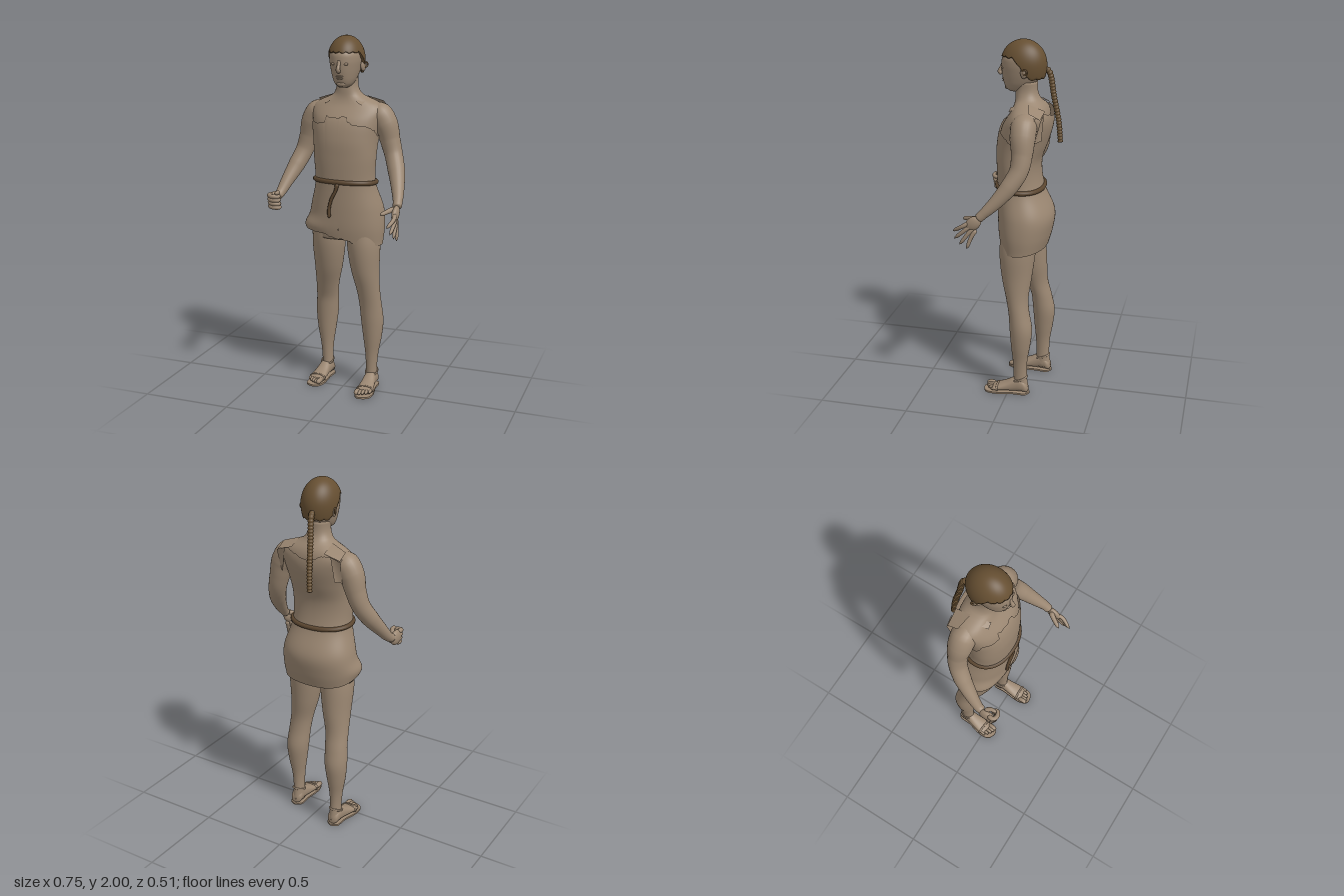
import * as THREE from 'three';
import { mergeVertices } from 'three/addons/utils/BufferGeometryUtils.js';

const mat = (name, color, side = THREE.FrontSide) => {
  const m = new THREE.MeshStandardMaterial({ color, side });
  m.name = name;
  return m;
};

// Weld the seams so shading is smooth all round
function weld(geo) {
  geo.deleteAttribute('uv');
  geo.deleteAttribute('normal');
  const g = mergeVertices(geo, 1e-5);
  g.computeVertexNormals();
  return g;
}

// Surface from fn(u, v) -> [x, y, z], u around and v along
function grid(nu, nv, fn) {
  const pos = [], idx = [];
  for (let j = 0; j <= nv; j++)
    for (let i = 0; i <= nu; i++) pos.push(...fn(i / nu, j / nv));
  for (let j = 0; j < nv; j++)
    for (let i = 0; i < nu; i++) {
      const a = j * (nu + 1) + i, d = a + nu + 1;
      idx.push(a, a + 1, d + 1, a, d + 1, d);
    }
  const g = new THREE.BufferGeometry();
  g.setAttribute('position', new THREE.Float32BufferAttribute(pos, 3));
  g.setIndex(idx);
  return weld(g);
}

// Smooth lookup in rows of [key, ...values]
function table(rows) {
  const n = rows[0].length - 1;
  const it = new THREE.CubicInterpolant(
    new Float32Array(rows.map(r => r[0])), new Float32Array(rows.flatMap(r => r.slice(1))), n);
  return k => Array.from(it.evaluate(k));
}

const power = (c, e) => Math.sign(c) * Math.abs(c) ** e;

// Closed upright loft; prof(y) -> [cx, cz, rx, rz]
function loft(prof, y0, y1, nv = 40, e = 1) {
  return grid(40, nv + 2, (u, v) => {
    const j = Math.round(v * (nv + 2)), a = u * Math.PI * 2;
    const t = Math.min(Math.max((j - 1) / nv, 0), 1), y = y0 + (y1 - y0) * t;
    const [cx, cz, rx, rz] = prof(y), k = j === 0 || j === nv + 2 ? 0 : 1;
    return [cx + k * rx * power(Math.sin(a), e), y, cz + k * rz * power(Math.cos(a), e)];
  });
}

// Tapered tube through points [x, y, z, radius], with rounded ends
function limb(pts, sides = 16, per = 8, closed = false) {
  const curve = new THREE.CatmullRomCurve3(pts.map(p => new THREE.Vector3(p[0], p[1], p[2])), closed);
  curve.getUtoTmapping = u => u;
  const n = (pts.length - (closed ? 0 : 1)) * per;
  const g = new THREE.TubeGeometry(curve, n, 1, sides, closed);
  const p = g.attributes.position, v = new THREE.Vector3();
  for (let i = 0; i <= n; i++) {
    const f = i / per, k = Math.floor(f), a = pts[k % pts.length], b = pts[(k + 1) % pts.length] ?? a;
    let r = THREE.MathUtils.lerp(a[3], b[3], f - k);
    if (!closed) r *= [0, 0.75][Math.min(i, n - i)] ?? 1;
    const c = curve.getPoint(i / n);
    for (let s = 0; s <= sides; s++) {
      const q = i * (sides + 1) + s;
      v.fromBufferAttribute(p, q).sub(c).multiplyScalar(r).add(c);
      p.setXYZ(q, v.x, v.y, v.z);
    }
  }
  return weld(g);
}

export function createModel() {
  const model = new THREE.Group();
  model.name = 'figure';
  const skin = mat('skin', 0x9b8772);
  const cloth = mat('cloth', 0x9a8671, THREE.DoubleSide);
  const hair = mat('hair', 0x664f32, THREE.DoubleSide);
  const rope = mat('rope', 0x5b4630);
  const add = (name, geo, m, parent = model) => {
    const mesh = new THREE.Mesh(geo, m);
    mesh.name = name;
    parent.add(mesh);
    return mesh;
  };
  const ball = (name, m, x, y, z, sx, sy, sz) => {
    const b = add(name, new THREE.SphereGeometry(1, 20, 14), m);
    b.position.set(x, y, z);
    b.scale.set(sx, sy, sz);
    return b;
  };

  // Torso and neck: [height, half width, front z, back z]
  const bodyRow = table([
    [0.86, 0.2, 0.055, -0.178], [0.95, 0.207, 0.068, -0.203], [1.05, 0.2, 0.073, -0.214],
    [1.2, 0.163, 0.075, -0.155], [1.35, 0.168, 0.08, -0.14], [1.45, 0.176, 0.078, -0.168],
    [1.55, 0.196, 0.055, -0.19], [1.6, 0.205, 0.025, -0.19], [1.63, 0.19, 0.006, -0.183],
    [1.655, 0.14, -0.004, -0.17], [1.675, 0.092, -0.008, -0.153], [1.71, 0.064, -0.009, -0.132], [1.8, 0.058, -0.01, -0.125]]);
  const body = y => {
    const [rx, f, b] = bodyRow(y);
    return [0, (f + b) / 2, rx, (f - b) / 2];
  };
  add('torso', loft(body, 0.89, 1.78, 70, 0.92), skin);

  // Head: [height, half width, front z, back z]
  const headRow = table([
    [1.725, 0.025, 0.025, -0.05], [1.737, 0.042, 0.04, -0.07], [1.76, 0.057, 0.052, -0.1],
    [1.79, 0.068, 0.06, -0.13], [1.83, 0.078, 0.066, -0.15], [1.87, 0.084, 0.067, -0.15],
    [1.91, 0.082, 0.06, -0.15], [1.94, 0.065, 0.03, -0.13], [1.96, 0.04, -0.01, -0.09]]);
  add('head', loft(y => {
    const [rx, f, b] = headRow(y);
    return [0, (f + b) / 2, rx, (f - b) / 2];
  }, 1.725, 1.96, 30, 0.95), skin);
  add('nose', limb([[0, 1.875, 0.058, 0.009], [0, 1.847, 0.07, 0.009], [0, 1.823, 0.079, 0.012], [0, 1.812, 0.066, 0.011]]), skin);
  ball('upperLip', skin, 0, 1.788, 0.057, 0.021, 0.005, 0.009);
  ball('lowerLip', skin, 0, 1.777, 0.054, 0.018, 0.006, 0.009);
  ball('chin', skin, 0, 1.747, 0.036, 0.026, 0.016, 0.015);
  for (const s of [1, -1]) {
    ball('eye', skin, s * 0.034, 1.853, 0.054, 0.014, 0.007, 0.009);
    const ear = ball('ear', skin, s * 0.089, 1.838, -0.07, 0.011, 0.03, 0.02);
    ear.rotation.y = -s * 0.4;
    const loop = add('sideLock', new THREE.TorusGeometry(0.013, 0.005, 8, 18), hair);
    loop.position.set(s * 0.1, 1.843, -0.078);
    loop.rotation.y = s * 1.1;
  }

  // Cropped hair cap with a scalloped fringe, lower at the nape
  add('hairCap', grid(96, 26, (u, v) => {
    const th = u * Math.PI * 2, a = Math.abs(u > 0.5 ? th - Math.PI * 2 : th);
    const low = 1.917 - 0.112 * THREE.MathUtils.smoothstep(a, 1.15, 2.1) - 0.008 * Math.abs(Math.sin(th * 8));
    const w = Math.max(0, (v * 26 - 1) / 25);
    const y = low + (2 - low) * Math.sin(w * Math.PI / 2);
    const h = (y - 1.87) / 0.13;
    const s = (h > 0 ? Math.sqrt(Math.max(0, 1 - h * h)) : 1 - 0.3 * h * h) * (v === 0 ? 0.85 : 1);
    return [0.1 * s * Math.sin(th), y, -0.051 + 0.124 * s * Math.cos(th)];
  }), hair);

  // Long braid with a bumpy profile
  const path = new THREE.CatmullRomCurve3([[-0.015, 1.85, -0.155], [-0.022, 1.83, -0.183],
    [-0.032, 1.7, -0.208], [-0.042, 1.56, -0.234], [-0.048, 1.44, -0.244]].map(p => new THREE.Vector3(...p)));
  const braid = [];
  for (let i = 0; i <= 50; i++) {
    const p = path.getPointAt(i / 50);
    braid.push([p.x, p.y, p.z, (i % 2 ? 0.0175 : 0.0135) - i * 0.00004]);
  }
  add('braid', limb(braid, 14, 3), hair);

  // Tunic shell with a ragged hem, a bunched fold at the right hip and a stepped neckline
  const tear = th => 0.006 * Math.sign(Math.sin(th * 11)) + 0.004 * Math.sin(th * 29);
  add('tunic', grid(120, 50, (u, v) => {
    const th = u * Math.PI * 2, sn = Math.sin(th), c = Math.cos(th);
    const hem = 0.868 + (0.5 + 0.5 * c) * (0.03 - 0.055 * sn) + 0.5 * tear(th) * Math.max(c, 0);
    const front = sn < -0.4 ? 1.535 : sn < 0.2 ? 1.57 : 1.55 - 0.04 * sn;
    const back = 1.632 - 0.03 * Math.exp(-((sn / 0.3) ** 2));
    const edge = THREE.MathUtils.lerp(1.47, c > 0 ? front : back, THREE.MathUtils.smoothstep(Math.abs(c), 0.1, 0.6));
    const top = edge + tear(th) * (c > 0 ? 0.5 : 0.3);
    const y = hem + (top - hem) * v, [, cz, rx, rz] = body(y);
    const gape = c < 0 ? -c * 0.012 * THREE.MathUtils.smoothstep(y, 1.3, 1.6) : 0;
    const fold = 0.028 * Math.exp(-(((th - 5.15) / 0.6) ** 2) - ((y - 0.955) / 0.045) ** 2);
    return [(rx + 0.008 + fold) * power(sn, 0.92), y, cz + (rz + 0.009 + gape + fold) * power(c, 0.92)];
  }), cloth);

  // Torn scraps of cloth left on the shoulders
  const scrap = (...p) => {
    const g = new THREE.BufferGeometry();
    g.setAttribute('position', new THREE.Float32BufferAttribute(p.flat(), 3));
    g.setIndex([0, 1, 2, 0, 2, 3]);
    g.computeVertexNormals();
    add('tornScrap', g, cloth);
  };
  for (const s of [1, -1]) {
    scrap([s * 0.085, 1.667, -0.04], [s * 0.12, 1.655, -0.04], [s * 0.105, 1.632, 0.006], [s * 0.075, 1.65, 0.002]);
    scrap([s * 0.1, 1.645, -0.188], [s * 0.19, 1.618, -0.18], [s * 0.19, 1.648, -0.12], [s * 0.1, 1.676, -0.1]);
    scrap([s * 0.14, 1.635, -0.19], [s * 0.195, 1.615, -0.183], [s * 0.188, 1.49, -0.15], [s * 0.16, 1.5, -0.182]);
  }

  // Rope belt with a hanging end
  const ring = [];
  for (let i = 0; i < 28; i++) {
    const th = i / 28 * Math.PI * 2, y = 1.211 + 0.008 * Math.cos(th) - 0.003 * Math.sin(th);
    const [, cz, rx, rz] = body(y);
    ring.push([(rx + 0.01) * power(Math.sin(th), 0.92), y, cz + (rz + 0.01) * power(Math.cos(th), 0.92), 0.013]);
  }
  add('belt', limb(ring, 10, 3, true), rope);
  add('beltEnd', limb([[0, 1.215, 0.092, 0.012], [-0.012, 1.17, 0.091, 0.009], [-0.035, 1.125, 0.09, 0.009],
    [-0.05, 1.07, 0.088, 0.009], [-0.05, 1.015, 0.086, 0.01]], 10), rope);

  // Legs, feet and sandals; the right leg trails behind the left
  const legRow = table([
    [0.03, 0.148, -0.075, 0.034, 0.043], [0.1, 0.148, -0.07, 0.031, 0.038], [0.2, 0.15, -0.069, 0.037, 0.041],
    [0.3, 0.152, -0.072, 0.053, 0.054], [0.4, 0.15, -0.073, 0.064, 0.063], [0.5, 0.143, -0.06, 0.064, 0.058],
    [0.58, 0.134, -0.049, 0.066, 0.062], [0.7, 0.117, -0.042, 0.079, 0.083], [0.85, 0.106, -0.043, 0.092, 0.1],
    [0.95, 0.1, -0.05, 0.087, 0.1]]);
  const footRow = table([
    [-0.05, 0.012, 0.03], [-0.04, 0.028, 0.05], [-0.01, 0.034, 0.085], [0.03, 0.034, 0.085],
    [0.08, 0.04, 0.058], [0.13, 0.045, 0.036], [0.165, 0.042, 0.024]]);
  for (const s of [1, -1]) {
    const lag = y => s > 0 ? 0 : -0.07 * Math.min(1, Math.max(0, (0.95 - y) / 0.45));
    add(s > 0 ? 'leftLeg' : 'rightLeg', loft(y => {
      const [cx, cz, rx, rz] = legRow(y);
      return [s * cx, cz + lag(y), rx, rz];
    }, 0.03, 0.95), skin);

    const foot = new THREE.Group();
    foot.name = s > 0 ? 'leftFoot' : 'rightFoot';
    foot.position.set(s * 0.15, 0, -0.07 + lag(0));
    foot.rotation.y = s > 0 ? 0.03 : -0.1;
    model.add(foot);
    add('instep', grid(28, 24, (u, v) => {
      const k = v === 0 || v === 1 ? 0 : 1, z = -0.05 + 0.215 * v, a = u * Math.PI * 2;
      const [w, h] = footRow(z);
      return [-k * w * Math.sin(a), 0.01 + h / 2 + k * h / 2 * power(Math.cos(a), 0.8), z];
    }), skin, foot);
    for (let i = 0; i < 5; i++) {
      const x = s * (-0.034 + i * 0.0175), r = i ? 0.0095 : 0.014, z = 0.202 - i * i * 0.0022;
      add('toe', limb([[x, 0.022, 0.14, r], [x, 0.028, z - 0.025, r], [x, 0.02, z, r * 0.85]], 10, 5), skin, foot);
    }
    const outline = new THREE.Shape();
    outline.moveTo(0, -0.055);
    outline.splineThru([[0.036, -0.03], [0.036, 0.04], [0.05, 0.13], [0.035, 0.195], [-0.025, 0.208],
      [-0.05, 0.15], [-0.038, 0.04], [-0.036, -0.03], [0, -0.055]].map(([x, z]) => new THREE.Vector2(s * x, z)));
    const sole = new THREE.ExtrudeGeometry(outline, { depth: 0.01, bevelEnabled: false, curveSegments: 40 });
    add('sole', sole.rotateX(Math.PI / 2).translate(0, 0.01, 0), cloth, foot);
    const strap = (name, w, d, y, z, tilt) => {
      const m = add(name, new THREE.TorusGeometry(1, 0.12, 8, 32).scale(w, d, 0.05).rotateX(Math.PI / 2 + tilt), cloth, foot);
      m.position.set(0, y, z);
    };
    strap('ankleStrap', 0.034, 0.043, 0.09, 0.002, 0.35);
    strap('toeStrap', 0.046, 0.021, 0.027, 0.13, Math.PI / 2);
  }

  // Arms
  for (const s of [1, -1])
    add(s > 0 ? 'leftArm' : 'rightArm', limb([
      [s * 0.11, 1.592, -0.093, 0.05], [s * 0.178, 1.573, -0.093, 0.07], [s * 0.213, 1.52, -0.094, 0.067],
      [s * 0.237, 1.44, -0.096, 0.056], [s * 0.262, 1.36, -0.085, 0.05], [s * 0.293, 1.28, -0.04, 0.047],
      [s * 0.322, 1.2, 0.025, 0.036], [s * 0.342, s > 0 ? 1.14 : 1.135, 0.085, 0.026], [s * 0.347, s > 0 ? 1.11 : 1.12, 0.115, 0.024]], 24), skin);

  // Left hand, open
  const palm = ball('leftPalm', skin, 0.348, 1.085, 0.14, 0.019, 0.035, 0.05);
  palm.rotation.x = 0.7;
  const tips = [[0.335, 1.03, 0.255], [0.35, 0.993, 0.245], [0.36, 0.965, 0.213], [0.366, 0.945, 0.172]];
  tips.forEach(([x, y, z], i) => add('leftFinger', limb([[0.348, 1.09 - i * 0.012, 0.158 - i * 0.012, 0.012],
    [0.356, 1.068 - i * 0.018, 0.195 - i * 0.016, 0.0115], [x, y, z, 0.009]], 10, 6), skin));
  add('leftThumb', limb([[0.34, 1.11, 0.125, 0.016], [0.312, 1.1, 0.165, 0.013], [0.285, 1.088, 0.212, 0.01]], 10, 6), skin);

  // Right hand, closed into a loose fist
  ball('rightPalm', skin, -0.354, 1.113, 0.145, 0.022, 0.042, 0.052);
  for (let i = 0; i < 4; i++) {
    const y = 1.142 - i * 0.021, z = -i * 0.004;
    add('rightFinger', limb([[-0.358, y, 0.155 + z, 0.0125], [-0.362, y, 0.188 + z, 0.0125], [-0.338, y - 0.004, 0.2 + z, 0.0125],
      [-0.312, y - 0.006, 0.188 + z, 0.0115], [-0.314, y - 0.006, 0.162 + z, 0.0095]], 10, 6), skin);
  }
  add('rightThumb', limb([[-0.345, 1.14, 0.125, 0.014], [-0.325, 1.152, 0.155, 0.012], [-0.325, 1.152, 0.19, 0.009]], 10, 6), skin);

  return model;
}
